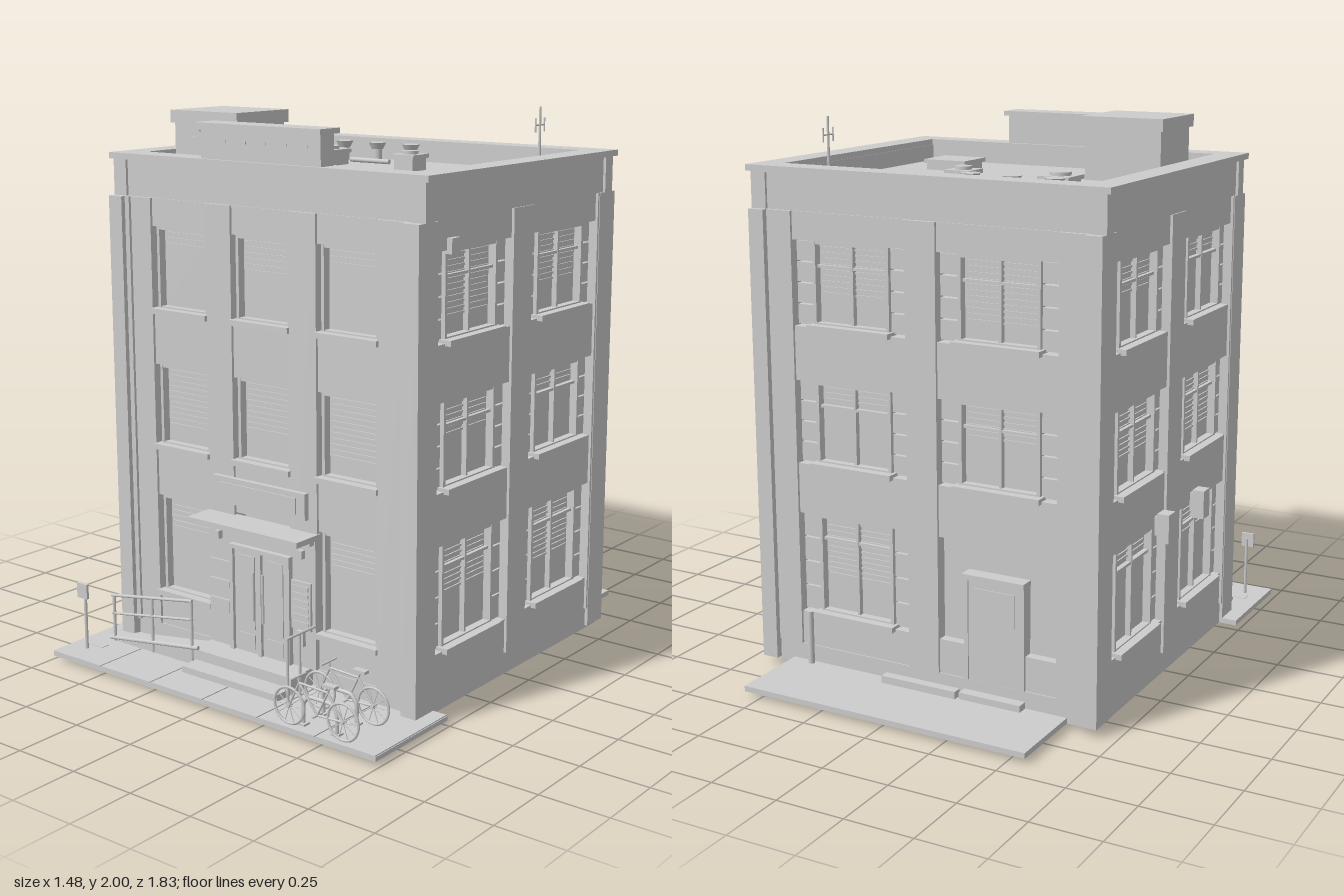
import * as THREE from 'three';

const grey = new THREE.MeshStandardMaterial({ color: 0xcccccc });
grey.name = 'clay grey';

function add(parent, name, geo, x = 0, y = 0, z = 0) {
  const m = new THREE.Mesh(geo, grey);
  m.name = name;
  m.position.set(x, y, z);
  parent.add(m);
  return m;
}
// box given by its limits on each axis
function box(parent, name, x0, x1, y0, y1, z0, z1) {
  return add(parent, name, new THREE.BoxGeometry(x1 - x0, y1 - y0, z1 - z0),
    (x0 + x1) / 2, (y0 + y1) / 2, (z0 + z1) / 2);
}
function cyl(parent, name, r0, r1, y0, y1, x, z, n = 16) {
  return add(parent, name, new THREE.CylinderGeometry(r1, r0, y1 - y0, n), x, (y0 + y1) / 2, z);
}
// round bar between two points
function bar(parent, name, a, b, r = 0.005) {
  const p = new THREE.Vector3(...a), d = new THREE.Vector3(...b).sub(p);
  const m = add(parent, name, new THREE.CylinderGeometry(r, r, d.length(), 8));
  m.position.copy(p).addScaledVector(d, 0.5);
  m.quaternion.setFromUnitVectors(new THREE.Vector3(0, 1, 0), d.normalize());
  return m;
}
function group(parent, name, x = 0, y = 0, z = 0, ry = 0) {
  const g = new THREE.Group();
  g.name = name;
  g.position.set(x, y, z);
  g.rotation.y = ry;
  parent.add(g);
  return g;
}

const FLOORS = [[0.23, 0.6], [0.79, 1.09], [1.29, 1.59]];

// framed window with sill and blinds; d is the wall plane
function windowUnit(parent, u, w, y0, y1, d, blinds, mullion) {
  const g = group(parent, 'window', u, 0, 0), h = w / 2, t = 0.012;
  box(g, 'glass', -h, h, y0, y1, d - 0.07, d - 0.05);
  for (const s of [-1, 1]) box(g, 'frameSide', s * (h - t / 2) - t / 2, s * (h - t / 2) + t / 2, y0, y1, d - 0.05, d - 0.02);
  box(g, 'frameTop', -h, h, y1 - t, y1, d - 0.05, d - 0.021);
  box(g, 'frameBottom', -h, h, y0, y0 + t, d - 0.05, d - 0.021);
  if (mullion) {
    box(g, 'mullion', -0.005, 0.005, y0, y1, d - 0.05, d - 0.03);
    box(g, 'transom', -h, h, y1 - 0.095, y1 - 0.085, d - 0.05, d - 0.032);
  }
  for (let i = 0; i < blinds; i++) {
    const y = y1 - 0.025 - i * 0.02;
    box(g, 'blindSlat', -h + 0.02, h - 0.02, y - 0.004, y + 0.004, d - 0.05, d - 0.045);
  }
  box(g, 'sill', -h - 0.012, h + 0.012, y0 - 0.013, y0 + 0.007, d - 0.05, d + 0.012);
}

// wall with piers, spandrels and three floors of bays
function facade(parent, name, o) {
  const g = group(parent, name, 0, 0, -0.015, o.ry), d = o.d;
  for (const [a, b] of o.piers) box(g, 'pier', a, b, 0.1, 1.69, d - 0.08, d);
  o.bays.forEach(([u, w, win], c) => {
    const a = u - w / 2, b = u + w / 2;
    [[0.1, 0.225], [0.6, 0.785], [1.09, 1.285], [1.59, 1.69]].forEach(([y0, y1]) =>
      box(g, 'spandrel', a, b, y0, y1, d - 0.08, d - 0.01));
    FLOORS.forEach(([y0, y1], f) => {
      if (o.skip && o.skip(c, f)) return;
      windowUnit(g, u, win, y0, y1, d, [6, 9, 3, 11][(c * 2 + f * 3 + o.seed) % 4], o.mullion);
      // coursed infill panels beside narrow windows
      if (w - win > 0.05) for (const s of [-1, 1]) {
        const p = u + s * win / 2, q = u + s * w / 2, n = 4;
        for (let i = 0; i < n; i++) {
          const k = (y1 - y0) / n;
          box(g, 'infillPanel', Math.min(p, q), Math.max(p, q), y0 + i * k, y0 + (i + 1) * k - 0.006, d - 0.07, d - 0.035);
        }
      }
    });
  });
  return g;
}

function bicycle(parent, z) {
  const g = group(parent, 'bicycle', 0, 0, z);
  const A = [0.367, 0.105, 0], B = [0.592, 0.105, 0], crank = [0.485, 0.1, 0];
  const head = [0.41, 0.195, 0], seat = [0.53, 0.19, 0];
  for (const c of [A, B]) {
    add(g, 'tyre', new THREE.TorusGeometry(0.063, 0.005, 6, 28), ...c);
    for (let i = 0; i < 5; i++) {
      const t = i * Math.PI / 5, x = 0.062 * Math.cos(t), y = 0.062 * Math.sin(t);
      bar(g, 'spoke', [c[0] - x, c[1] - y, 0], [c[0] + x, c[1] + y, 0], 0.0015);
    }
    bar(g, 'hub', [c[0], c[1], -0.01], [c[0], c[1], 0.01], 0.007);
  }
  for (const [a, b] of [[A, head], [head, crank], [head, seat], [seat, crank], [crank, B], [seat, B]]) bar(g, 'frameTube', a, b, 0.004);
  bar(g, 'stem', head, [0.405, 0.215, 0], 0.004);
  bar(g, 'handlebar', [0.405, 0.215, -0.04], [0.405, 0.215, 0.04], 0.004);
  bar(g, 'seatPost', seat, [0.538, 0.212, 0], 0.004);
  box(g, 'saddle', 0.515, 0.565, 0.21, 0.22, -0.012, 0.012);
  bar(g, 'pedalAxle', [0.485, 0.1, -0.025], [0.485, 0.1, 0.025], 0.004);
}

function bikeRack(parent, z) {
  const P = [[0.405, 0.04], [0.405, 0.11], [0.43, 0.14], [0.52, 0.14], [0.545, 0.11], [0.545, 0.04]];
  const path = new THREE.CatmullRomCurve3(P.map(([x, y]) => new THREE.Vector3(x, y, z)), false, 'catmullrom', 0.2);
  add(parent, 'bikeRack', new THREE.TubeGeometry(path, 32, 0.007, 8));
  for (const x of [0.405, 0.545]) box(parent, 'rackFoot', x - 0.015, x + 0.015, 0.036, 0.045, z - 0.015, z + 0.015);
}

export function createModel() {
  const root = new THREE.Group();
  root.name = 'building';

  // ground
  box(root, 'frontWalk', -0.74, 0.74, 0.018, 0.034, 0.5, 0.9);
  for (let i = 0; i < 6; i++) box(root, 'paving', -0.74 + i * 0.247, -0.745 + (i + 1) * 0.247, 0.034, 0.038, 0.5, 0.9);
  box(root, 'rearYard', -0.56, 0.56, 0.018, 0.038, -0.915, -0.5);

  // core, plinth and corner piers
  box(root, 'core', -0.615, 0.615, 0.03, 1.76, -0.55, 0.515);
  box(root, 'plinth', -0.67, 0.67, 0.018, 0.1, -0.61, 0.57);
  for (const s of [-1, 1]) for (const [z0, z1] of [[0.5, 0.602], [-0.636, -0.53]]) {
    const a = s * 0.62, b = s * 0.682;
    box(root, 'cornerPier', Math.min(a, b), Math.max(a, b), 0.1, 1.69, z0, z1);
    box(root, 'cornerFoot', Math.min(a, b), Math.max(a, b), 0.03, 0.1, z0, z1);
  }

  // four walls
  facade(root, 'frontWall', { ry: 0, d: 0.59, seed: 0, mullion: false,
    piers: [[-0.63, -0.505], [-0.245, -0.13], [0.125, 0.245], [0.5, 0.63]],
    bays: [[-0.375, 0.26, 0.24], [-0.0025, 0.255, 0.24], [0.3725, 0.255, 0.24]],
    skip: (c, f) => c === 1 && f === 0 });
  [1, -1].forEach((s, i) => facade(root, s > 0 ? 'rightWall' : 'leftWall', { ry: s * Math.PI / 2, d: 0.68, seed: i + 1, mullion: true,
    piers: [[-0.6, -0.505], [-0.06, 0.06], [0.505, 0.6]],
    bays: [[-0.2825, 0.445, 0.31], [0.2825, 0.445, 0.31]] }));
  const back = facade(root, 'backWall', { ry: Math.PI, d: 0.6, seed: 3, mullion: true,
    piers: [[-0.63, -0.52], [-0.06, 0.06], [0.52, 0.63]],
    bays: [[-0.29, 0.46, 0.31], [0.29, 0.46, 0.31]],
    skip: (c, f) => c === 1 && f === 0 });

  // rear door with step, rail and drain
  box(back, 'rearDoorWall', 0.06, 0.52, 0.22, 0.6, 0.53, 0.555);
  for (const x of [0.17, 0.39]) box(back, 'rearDoorPost', x - 0.008, x + 0.008, 0.1, 0.48, 0.55, 0.6);
  box(back, 'rearDoorHead', 0.16, 0.4, 0.47, 0.49, 0.55, 0.61);
  box(back, 'rearDoor', 0.178, 0.382, 0.1, 0.47, 0.55, 0.594);
  box(back, 'rearDoorPanel', 0.2, 0.36, 0.32, 0.44, 0.594, 0.598);
  box(back, 'rearStep', 0.16, 0.4, 0.036, 0.062, 0.58, 0.635);
  box(back, 'rearKerb', -0.15, 0.15, 0.036, 0.065, 0.61, 0.645);
  cyl(root, 'drainPipe', 0.012, 0.012, 0.04, 0.24, 0.47, -0.632);

  // frieze, cornice and parapet ring
  const ring = (name, x, z0, z1, t, y0, y1) => {
    box(root, name, -x, x, y0, y1, z1 - t, z1);
    box(root, name, -x, x, y0, y1, z0, z0 + t);
    for (const s of [-1, 1]) box(root, name, s * (x - t / 2) - t / 2, s * (x - t / 2) + t / 2, y0, y1, z0 + t, z1 - t);
  };
  ring('frieze', 0.675, -0.6, 0.56, 0.075, 1.69, 1.82);
  ring('cornice', 0.7, -0.62, 0.578, 0.098, 1.82, 1.842);
  for (const s of [-1, 1]) for (const z of [-0.585, 0.545])
    box(root, 'friezeCorner', s * 0.655 - 0.03, s * 0.655 + 0.03, 1.69, 1.82, z - 0.025, z + 0.025);

  // raised front parapet
  box(root, 'frontParapet', -0.265, 0.262, 1.84, 1.948, 0.495, 0.565);
  box(root, 'frontParapetCap', -0.28, 0.275, 1.948, 1.966, 0.48, 0.585);
  for (let i = 0; i < 5; i++) box(root, 'parapetSlit', -0.2 + i * 0.09, -0.15 + i * 0.09, 1.9, 1.91, 0.565, 0.568);

  // roof stair house and hatch
  box(root, 'stairHouse', -0.53, -0.235, 1.76, 1.945, 0.155, 0.41);
  box(root, 'stairHouseRoof', -0.543, -0.227, 1.945, 1.99, 0.14, 0.42);
  box(root, 'stairHouseDoor', -0.45, -0.32, 1.76, 1.9, 0.41, 0.416);
  add(root, 'stairHouseLamp', new THREE.SphereGeometry(0.014, 12, 8), -0.385, 1.93, 0.425);
  box(root, 'hatchCurb', 0.28, 0.44, 1.76, 1.785, 0.17, 0.31);
  box(root, 'hatchLid', 0.27, 0.447, 1.785, 1.8, 0.16, 0.32);

  // roof machinery
  for (const [x, h, r] of [[-0.325, 0.06, 0.038], [0.055, 0.05, 0.03]]) {
    box(root, 'coolingUnit', x - h + 0.008, x + h - 0.008, 1.76, 1.82, -0.212 - h, -0.228 + h);
    box(root, 'coolingUnitTop', x - h, x + h, 1.805, 1.82, -0.22 - h, -0.22 + h);
    cyl(root, 'fan', r, r, 1.82, 1.832, x, -0.22, 20);
  }
  bar(root, 'roofPipe', [-0.22, 1.785, -0.22], [-0.04, 1.785, -0.22], 0.009);
  for (const x of [-0.405, -0.245, -0.085]) {
    cyl(root, 'ventStack', 0.018, 0.018, 1.76, 1.81, x, -0.42);
    cyl(root, 'ventCap', 0.022, 0.035, 1.81, 1.835, x, -0.42);
  }
  cyl(root, 'antennaMast', 0.006, 0.004, 1.76, 2, 0.5, -0.4, 8);
  for (const z of [-0.43, -0.37]) bar(root, 'antennaRod', [0.5, 1.91, z], [0.5, 1.96, z], 0.003);
  bar(root, 'antennaArm', [0.5, 1.935, -0.43], [0.5, 1.935, -0.37], 0.003);

  // entrance
  const e = group(root, 'entrance');
  box(e, 'entranceWall', -0.245, 0.245, 0.1, 0.57, 0.5, 0.585);
  box(e, 'canopy', -0.25, 0.25, 0.572, 0.592, 0.56, 0.69);
  box(e, 'canopyLip', -0.24, 0.24, 0.555, 0.572, 0.58, 0.61);
  for (const x of [-0.125, 0.005, 0.135]) box(e, 'doorPost', x - 0.008, x + 0.008, 0.1, 0.49, 0.585, 0.605);
  box(e, 'doorHead', -0.133, 0.143, 0.48, 0.495, 0.585, 0.606);
  for (const s of [-1, 1]) {
    const c = 0.005 + s * 0.065;
    box(e, 'doorLeaf', c - 0.057, c + 0.057, 0.1, 0.48, 0.585, 0.592);
    box(e, 'doorGlass', c - 0.037, c + 0.037, 0.19, 0.46, 0.592, 0.596);
    box(e, 'kickPlate', c - 0.037, c + 0.037, 0.115, 0.17, 0.592, 0.596);
    bar(e, 'doorHandle', [0.005 + s * 0.022, 0.23, 0.61], [0.005 + s * 0.022, 0.41, 0.61], 0.005);
    box(e, 'wallLamp', s * 0.19 - 0.01, s * 0.19 + 0.01, 0.5, 0.53, 0.585, 0.605);
  }
  for (const y of [0.25, 0.323, 0.396]) box(e, 'noticePlate', -0.235, -0.145, y - 0.023, y + 0.023, 0.585, 0.593);
  box(e, 'directoryBoard', 0.143, 0.23, 0.24, 0.415, 0.585, 0.594);
  for (let i = 0; i < 6; i++) box(e, 'directorySlat', 0.152, 0.221, 0.255 + i * 0.026, 0.27 + i * 0.026, 0.594, 0.598);
  box(e, 'intercom', 0.168, 0.2, 0.18, 0.235, 0.585, 0.6);
  box(e, 'signBoard', -0.213, 0.208, 0.637, 0.732, 0.575, 0.595);
  box(e, 'signPanel', -0.18, 0.17, 0.655, 0.713, 0.595, 0.6);

  // steps, ramp and railings
  box(e, 'landing', -0.245, 0.22, 0.036, 0.1, 0.55, 0.69);
  box(e, 'lowerStep', -0.223, 0.217, 0, 0.062, 0.68, 0.765);
  const slope = new THREE.Shape([[-0.66, 0.036], [-0.21, 0.036], [-0.21, 0.1]].map(p => new THREE.Vector2(...p)));
  add(e, 'ramp', new THREE.ExtrudeGeometry(slope, { depth: 0.1, bevelEnabled: false }), 0, 0, 0.59);
  bar(e, 'rampEdge', [-0.65, 0.048, 0.692], [-0.21, 0.108, 0.692], 0.008);
  bar(e, 'rampRail', [-0.64, 0.215, 0.692], [-0.235, 0.28, 0.692], 0.006);
  bar(e, 'rampMidRail', [-0.64, 0.145, 0.692], [-0.235, 0.21, 0.692], 0.005);
  for (const [x, y] of [[-0.63, 0.217], [-0.435, 0.248], [-0.24, 0.279]]) bar(e, 'rampPost', [x, 0.04, 0.692], [x, y, 0.692], 0.006);
  for (const z of [0.685, 0.75]) bar(e, 'stairPost', [0.255, 0.036, z], [0.255, 0.27, z], 0.005);
  bar(e, 'stairRail', [0.255, 0.27, 0.6], [0.255, 0.27, 0.755], 0.005);

  // street furniture
  cyl(root, 'signPost', 0.006, 0.006, 0.03, 0.27, -0.66, 0.808, 8);
  box(root, 'signPlate', -0.687, -0.637, 0.235, 0.29, 0.812, 0.822);
  box(root, 'signPostBase', -0.685, -0.615, 0.008, 0.04, 0.74, 0.775);
  for (const z of [0.715, 0.877]) bicycle(root, z);
  for (const z of [0.745, 0.85]) bikeRack(root, z);

  // wall units
  for (const z of [-0.14, 0.18]) {
    box(root, 'wallUnit', -0.73, -0.685, 0.55, 0.655, z - 0.028, z + 0.028);
    box(root, 'wallUnitBracket', -0.7, -0.67, 0.57, 0.64, z - 0.015, z + 0.015);
  }
  box(root, 'alarmBox', 0.66, 0.69, 1.578, 1.63, 0.382, 0.43);
  return root;
}
